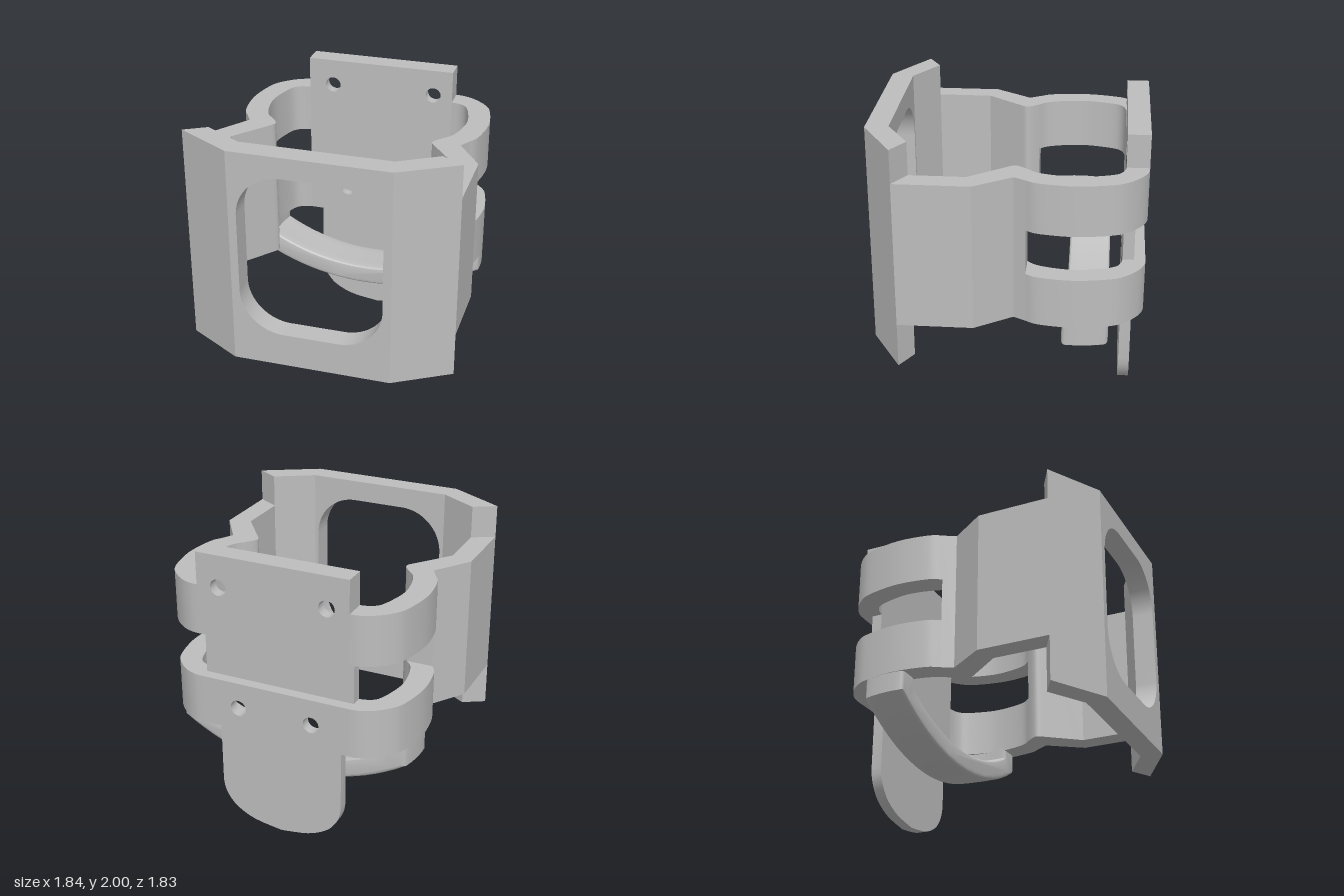
import * as THREE from 'three';
import { toCreasedNormals } from 'three/addons/utils/BufferGeometryUtils.js';

const grey = new THREE.MeshStandardMaterial({ color: 0xbdbdbd });
grey.name = 'light grey';

const V = (p) => new THREE.Vector2(p[0], p[1]);
const smooth = (pts, n) => new THREE.SplineCurve(pts.map(V)).getPoints(n).map((p) => [p.x, p.y]);
const shapeOf = (pts) => new THREE.Shape(pts.map(V));

function addMesh(group, name, geometry) {
  const mesh = new THREE.Mesh(toCreasedNormals(geometry, 0.5), grey);
  mesh.name = name;
  group.add(mesh);
}

// Extrude a plan outline of [x, z] points between two heights
function upright(pts, side, y0, y1) {
  const shape = shapeOf(pts.map(([x, z]) => [x * side, -z]));
  return new THREE.ExtrudeGeometry(shape, { depth: y1 - y0, bevelEnabled: false })
    .rotateX(-Math.PI / 2).translate(0, y0, 0);
}

// Extrude a front outline between two depths
function slab(shape, z0, z1) {
  return new THREE.ExtrudeGeometry(shape, { depth: z1 - z0, bevelEnabled: false, curveSegments: 24 })
    .translate(0, 0, z0);
}

const rect = (w, y0, y1) => shapeOf([[-w, y0], [w, y0], [w, y1], [-w, y1]]);

function drill(shape, x, y, r) {
  for (const s of [-1, 1]) shape.holes.push(new THREE.Path().absarc(s * x, y, r, 0, Math.PI * 2, true));
  return shape;
}

export function createModel() {
  const model = new THREE.Group();
  model.name = 'deviceHolder';

  // Front plate with rounded window
  const front = rect(0.51, 0.467, 2);
  const [w, b, t, r] = [0.485, 0.705, 1.855, 0.3];
  const win = new THREE.Path();
  win.absarc(w - r, t - r, r, 0, Math.PI / 2);
  win.absarc(-w + r, t - r, r, Math.PI / 2, Math.PI);
  win.absarc(-w + r, b + r, r, Math.PI, Math.PI * 1.5);
  win.absarc(w - r, b + r, r, Math.PI * 1.5, Math.PI * 2);
  front.holes.push(win);
  addMesh(model, 'frontPlate', slab(front, 0.762, 0.915));

  // Plan curves of the curved arms, from the slot edge to the back plate
  const outer = smooth([[0.795, -0.14], [0.84, -0.23], [0.865, -0.46], [0.825, -0.69],
    [0.77, -0.79], [0.68, -0.87], [0.6, -0.907], [0.535, -0.915]], 28);
  const inner = smooth([[0.535, -0.765], [0.61, -0.745], [0.66, -0.69], [0.7, -0.55],
    [0.712, -0.44], [0.695, -0.31], [0.66, -0.2], [0.61, -0.14]], 28);
  const tip = smooth([[0.61, -0.14], [0.57, -0.09], [0.556, -0.05], [0.58, -0.01]], 10);

  for (const side of [1, -1]) {
    const tag = side > 0 ? 'left' : 'right';
    addMesh(model, tag + 'FrontWing', upright(
      [[0.51, 0.915], [0.54, 0.915], [0.92, 0.692], [0.77, 0.605], [0.51, 0.762]], side, 0.467, 2));
    // Straight walls, pinched waist and the start of the curved arm
    addMesh(model, tag + 'SideWall', upright(
      [[0.92, 0.692], [0.92, 0.19], [0.75, -0.06], [0.795, -0.14], ...tip, [0.77, 0.235], [0.77, 0.605]],
      side, 0.775, 1.775));
    addMesh(model, tag + 'LowerArm', upright([...outer, ...inner], side, 0.775, 1.12));
    addMesh(model, tag + 'UpperArm', upright([...outer, ...inner], side, 1.43, 1.775));
  }

  // Inner back layer with hanging tongue and counterbores
  const curve = smooth([[0.445, 0.3], [0.432, 0.23], [0.395, 0.16], [0.33, 0.095], [0.2, 0.035], [0, 0.003]], 20);
  const half = [[0.535, 2], [0.535, 0.775], [0.445, 0.775], ...curve];
  const back = shapeOf([...half, ...half.slice(0, -1).reverse().map(([x, y]) => [-x, y])]);
  drill(drill(back, 0.265, 0.937, 0.108), 0.38, 1.78, 0.108);
  addMesh(model, 'backPlateAndTongue', slab(back, -0.84, -0.765));

  // Outer back layer, parted by a groove
  addMesh(model, 'lowerBackBand', slab(drill(rect(0.535, 0.775, 1.12), 0.265, 0.937, 0.056), -0.915, -0.84));
  addMesh(model, 'upperBackBand', slab(drill(rect(0.535, 1.43, 2), 0.38, 1.78, 0.056), -0.915, -0.84));

  // Sagging support strap under the arms
  const arc = (x0, y0, R) => {
    const pts = [];
    for (let i = 0; i <= 24; i++) {
      const x = x0 * (1 - i / 12);
      pts.push([x, y0 + R - Math.sqrt(R * R - x * x)]);
    }
    return pts;
  };
  const strap = shapeOf([[0.86, 0.8], ...arc(0.86, 0.39, 1.6), [-0.86, 0.8],
    [-0.71, 0.8], ...arc(-0.71, 0.53, 1.45), [0.71, 0.8]]);
  const bevel = 0.025;
  const strapGeo = new THREE.ExtrudeGeometry(strap, { depth: 0.305 - 2 * bevel, steps: 5,
    bevelThickness: bevel, bevelSize: bevel, bevelOffset: -bevel, bevelSegments: 3 })
    .translate(0, 0, -0.685 + bevel);
  // Follow the plan curve of the arms
  const pos = strapGeo.attributes.position;
  for (let i = 0; i < pos.count; i++) {
    const d = pos.getZ(i) + 0.46;
    pos.setX(i, pos.getX(i) * (1 - 0.8 * d * d));
  }
  strapGeo.computeVertexNormals();
  addMesh(model, 'supportStrap', strapGeo);

  return model;
}
